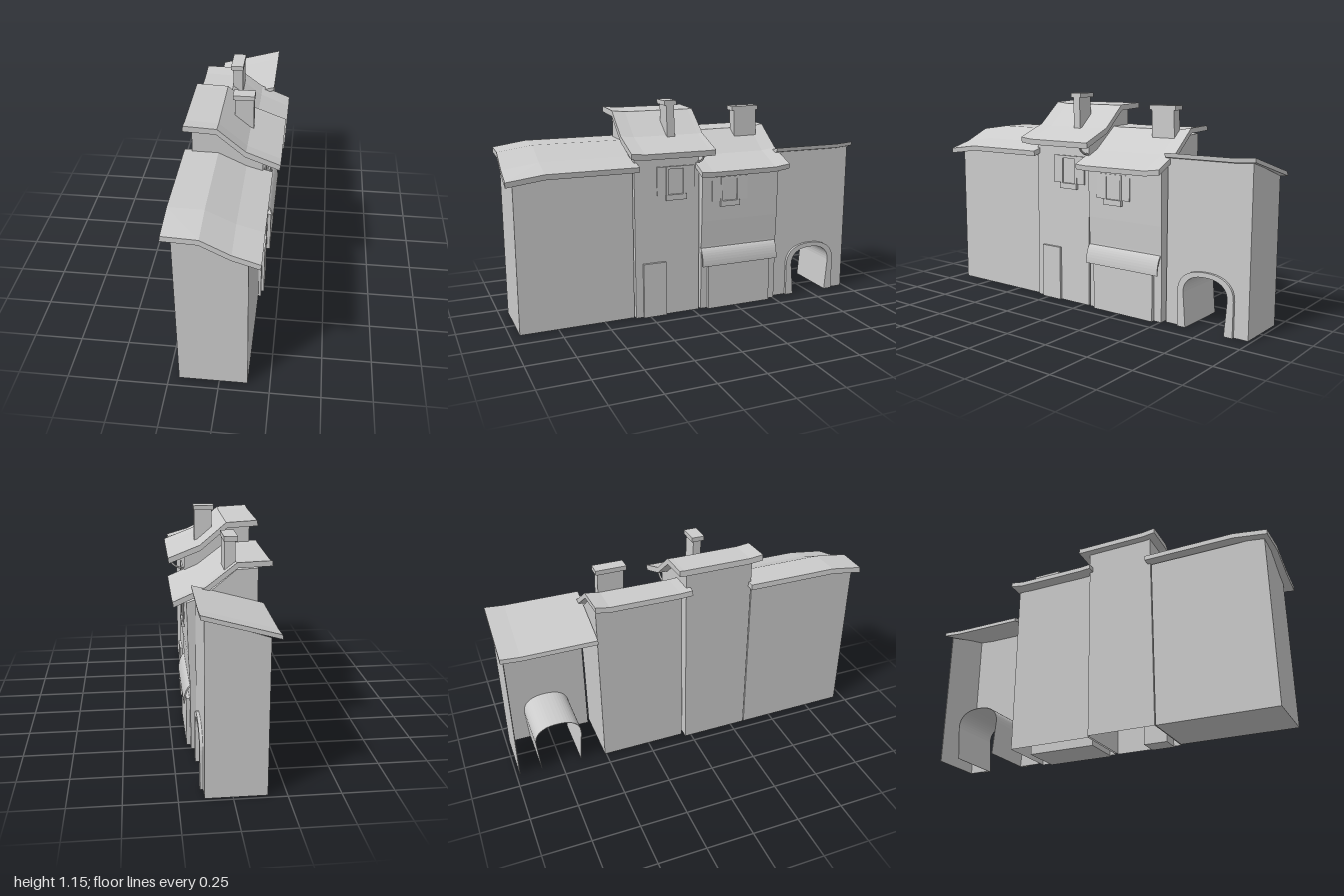
import * as THREE from 'three';

const grey = new THREE.MeshStandardMaterial({ color: 0xcccccc, flatShading: true, side: THREE.DoubleSide });
const toShape = pts => new THREE.Shape(pts.map(p => new THREE.Vector2(p[0], p[1])));

export function createModel() {
  const model = new THREE.Group();

  function add(name, geometry, parent = model) {
    const mesh = new THREE.Mesh(geometry, grey);
    mesh.name = name;
    parent.add(mesh);
    return mesh;
  }
  function box(name, x0, x1, y0, y1, z0, z1, parent) {
    const g = new THREE.BoxGeometry(x1 - x0, y1 - y0, z1 - z0);
    g.translate((x0 + x1) / 2, (y0 + y1) / 2, (z0 + z1) / 2);
    return add(name, g, parent);
  }
  // Cross-section in x,y drawn out along z
  function prism(pts, z0, z1) {
    const g = new THREE.ExtrudeGeometry(toShape(pts), { depth: z1 - z0, bevelEnabled: false });
    return g.translate(0, 0, z0);
  }
  // Outline in (-z, y) drawn out towards +x
  function facing(shape, x0, depth) {
    const g = new THREE.ExtrudeGeometry(shape, { depth, bevelEnabled: false });
    return g.rotateY(Math.PI / 2).translate(x0, 0, 0);
  }
  // Drops the floor triangles so a house is open below
  function openBelow(g) {
    const p = g.attributes.position, kept = [];
    for (let i = 0; i < p.count; i += 3) {
      if (p.getY(i) + p.getY(i + 1) + p.getY(i + 2) < 1e-6) continue;
      for (let k = 0; k < 3; k++) kept.push(p.getX(i + k), p.getY(i + k), p.getZ(i + k));
    }
    const out = new THREE.BufferGeometry();
    out.setAttribute('position', new THREE.Float32BufferAttribute(kept, 3));
    out.computeVertexNormals();
    return out;
  }
  // Roof slab: top profile with thickness, through stations [z, rise, skew]
  function roof(name, top, thick, stations) {
    const under = top.map(([x, y]) => [x - 0.004, y - thick]).reverse();
    const n = stations.length - 1;
    const g = new THREE.ExtrudeGeometry(toShape([...top, ...under]), { depth: n, steps: n, bevelEnabled: false });
    const p = g.attributes.position;
    for (let i = 0; i < p.count; i++) {
      const [z, rise, skew] = stations[Math.round(p.getZ(i))];
      p.setY(i, p.getY(i) + rise);
      p.setZ(i, z + skew * p.getX(i));
    }
    g.computeVertexNormals();
    add(name, g);
  }

  // House bodies, front to back
  add('frontHouse', prism([[-0.2, 0], [0.14, 0], [0.14, 0.8], [0.06, 0.835], [-0.07, 0.9], [-0.2, 0.9]], 0.335, 0.95));
  add('tallHouse', openBelow(prism(
    [[-0.2, 0], [0.155, 0], [0.15, 0.9], [0.08, 0.93], [-0.07, 1.06], [-0.2, 1.065]], -0.035, 0.33)));
  add('shopHouse', openBelow(prism(
    [[-0.175, 0], [0.155, 0], [0.158, 0.36], [0.165, 0.5], [0.172, 0.78], [0.08, 0.815], [-0.07, 0.94], [-0.175, 0.945]],
    -0.507, -0.047)));

  // Curved roofs, high at the back and flaring to the street
  roof('frontHouseRoof', [[-0.24, 0.937], [-0.07, 0.935], [0.07, 0.868], [0.2, 0.83]], 0.028,
    [[0.315, 0, 0], [0.8, 0, 0], [0.985, -0.025, 0.04]]);
  roof('tallHouseRoof', [[-0.235, 1.092], [-0.07, 1.084], [0.07, 0.966], [0.24, 0.9]], 0.03,
    [[-0.088, 0.002, -0.015], [-0.06, 0, 0], [0.3, 0, 0], [0.372, 0.008, 0]]);
  roof('shopHouseRoof', [[-0.24, 0.97], [-0.07, 0.965], [0.08, 0.85], [0.24, 0.782]], 0.027,
    [[-0.53, 0.014, -0.03], [-0.45, 0.002, 0], [-0.08, 0, 0], [-0.015, 0.004, 0]]);

  // Bracket under the tall house eave
  const bracketCurve = new THREE.QuadraticBezierCurve3(
    new THREE.Vector3(0.15, 0.83, -0.03), new THREE.Vector3(0.21, 0.835, -0.03), new THREE.Vector3(0.225, 0.88, -0.03));
  add('eaveBracket', new THREE.TubeGeometry(bracketCurve, 8, 0.006, 5));

  // Gatehouse with an open back
  const archCentre = 0.75;
  function archPoints(foot, rx, spring, ry, n = 24) {
    const pts = [[archCentre - foot, 0]];
    for (let i = 0; i <= n; i++) {
      const a = Math.PI * (1 - i / n), c = Math.cos(a), s = Math.sin(a);
      pts.push([archCentre + rx * Math.sign(c) * Math.abs(c) ** 0.85, spring + ry * Math.max(0, s) ** 0.85]);
    }
    pts.push([archCentre + foot, 0]);
    return pts;
  }
  const inner = archPoints(0.108, 0.123, 0.18, 0.095);
  const outer = archPoints(0.155, 0.156, 0.18, 0.12);
  const lining = archPoints(0.111, 0.126, 0.18, 0.098);
  const band = (a, b) => toShape([...a, ...b.slice().reverse()]);
  const gate = new THREE.Group();
  gate.name = 'gatehouse';
  model.add(gate);
  const facade = toShape([[0.52, 0], ...inner, [0.98, 0], [0.98, 0.855], [0.52, 0.85]]);
  add('gateFacade', facing(facade, 0.126, 0.004), gate);
  add('archSurround', facing(band(outer, inner), 0.128, 0.017), gate);
  add('archTunnel', facing(band(lining, inner), -0.16, 0.288), gate);
  add('gateEndWall', prism([[-0.16, 0], [0.13, 0], [0.13, 0.855], [-0.16, 0.762]], -0.982, -0.978), gate);
  // This roof falls away from the street
  roof('gateRoof', [[-0.203, 0.772], [0.15, 0.87]], 0.022, [[-1, 0.008, 0], [-0.9, 0, 0], [-0.51, 0, 0]]);

  // Chimneys: tapered shaft with a cap
  function chimney(name, x0, x1, z0, z1, base, top, lean) {
    const group = new THREE.Group();
    group.name = name;
    model.add(group);
    const shaft = box('shaft', x0 + 0.01, x1 - 0.004, base, top - 0.022, z0 + 0.012, z1 - 0.012, group);
    const p = shaft.geometry.attributes.position;
    for (let i = 0; i < p.count; i++) if (p.getY(i) < base + 0.01) p.setZ(i, p.getZ(i) + lean);
    shaft.geometry.computeVertexNormals();
    box('cap', x0, x1, top - 0.024, top, z0, z1, group);
  }
  chimney('tallHouseChimney', -0.02, 0.09, 0.07, 0.137, 0.93, 1.15, -0.006);
  chimney('shopHouseChimney', -0.08, -0.012, -0.468, -0.308, 0.91, 1.093, -0.006);

  // Windows: recessed pane between jambs, with sill and shutters
  function shutteredWindow(name, x, z, y0, y1) {
    const group = new THREE.Group();
    group.name = name;
    model.add(group);
    box('sill', x - 0.02, x + 0.014, y0 - 0.03, y0, z - 0.058, z + 0.058, group);
    box('lintel', x - 0.02, x + 0.008, y1 - 0.014, y1, z - 0.055, z + 0.055, group);
    for (const s of [-1, 1]) {
      const slab = (part, a, b, x1, top) =>
        box(part, x - 0.02, x1, y0, top, z + Math.min(s * a, s * b), z + Math.max(s * a, s * b), group);
      slab('jamb', 0.043, 0.055, x + 0.008, y1);
      slab('shutter', 0.056, 0.106, x + 0.006, y1);
    }
  }
  shutteredWindow('tallHouseWindow', 0.152, 0.1, 0.665, 0.815);
  shutteredWindow('shopHouseWindow', 0.168, -0.21, 0.608, 0.74);

  // Street-level parts
  box('houseDoor', 0.06, 0.168, 0, 0.3, 0.16, 0.288);
  box('shopFront', -0.05, 0.175, 0, 0.26, -0.462, -0.085);

  // Rounded awning shell
  const awning = [];
  for (let i = 0; i <= 10; i++) {
    const a = (Math.PI / 2) * (1 - i / 10);
    awning.push([0.145 + 0.045 * Math.cos(a), 0.25 + 0.103 * Math.sin(a)]);
  }
  for (let i = 10; i >= 0; i--) {
    const a = (Math.PI / 2) * (1 - i / 10);
    awning.push([0.145 + 0.038 * Math.cos(a), 0.25 + 0.094 * Math.sin(a)]);
  }
  add('shopAwning', prism(awning, -0.5, -0.045));

  return model;
}
